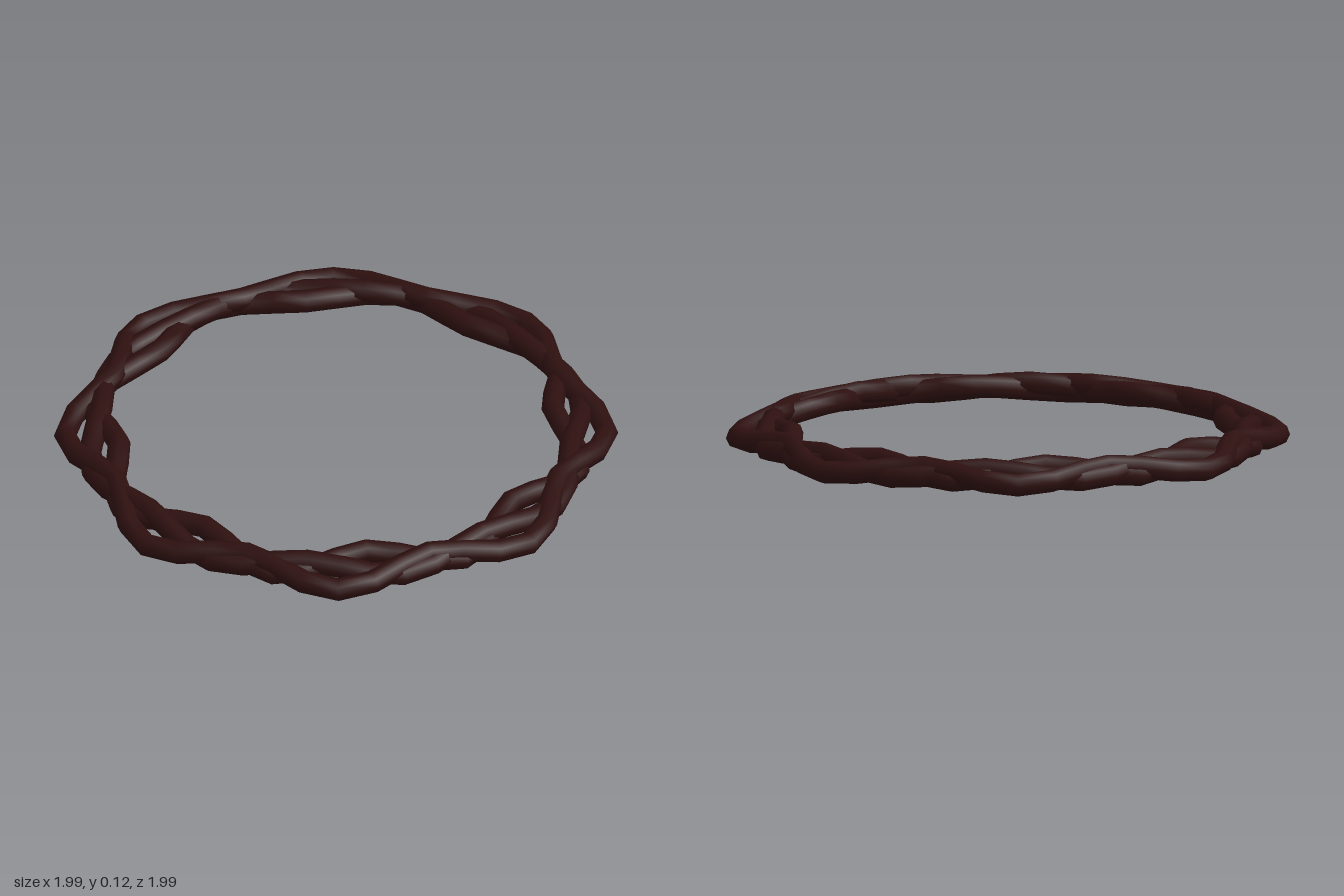
import * as THREE from 'three';

const WAVES = 8;          // in-and-out bends of each strand per turn
const SEGMENTS = 48;
const TUBE = 0.042;
const MID_HEIGHT = 0.06;
const LIFT = 0.018;       // strands rise as they bend inwards

// Closed ring that weaves in and out, up and down
class StrandCurve extends THREE.Curve {
  constructor(radius, sway, phase) {
    super();
    Object.assign(this, { radius, sway, phase });
  }
  // keep the bends evenly spaced by angle
  getUtoTmapping(u) {
    return u;
  }
  getPoint(t, target = new THREE.Vector3()) {
    const angle = t * Math.PI * 2;
    const wave = Math.cos(WAVES * angle + this.phase);
    const r = this.radius + this.sway * wave;
    return target.set(r * Math.cos(angle), MID_HEIGHT - LIFT * wave, r * Math.sin(angle));
  }
}

export function createModel() {
  const group = new THREE.Group();
  group.name = 'braidedRing';
  const material = new THREE.MeshStandardMaterial({ color: 0x2e1010 });

  // Three strands, each a third of a wave apart
  const strands = [
    { name: 'innerStrand', radius: 0.857, sway: 0.057 },
    { name: 'outerStrand', radius: 0.932, sway: 0.057 },
    { name: 'middleStrand', radius: 0.893, sway: 0.028 },
  ];
  strands.forEach(({ name, radius, sway }, i) => {
    const curve = new StrandCurve(radius, sway, (i * Math.PI * 2) / 3);
    const mesh = new THREE.Mesh(new THREE.TubeGeometry(curve, SEGMENTS, TUBE, 8, true), material);
    mesh.name = name;
    group.add(mesh);
  });
  return group;
}
